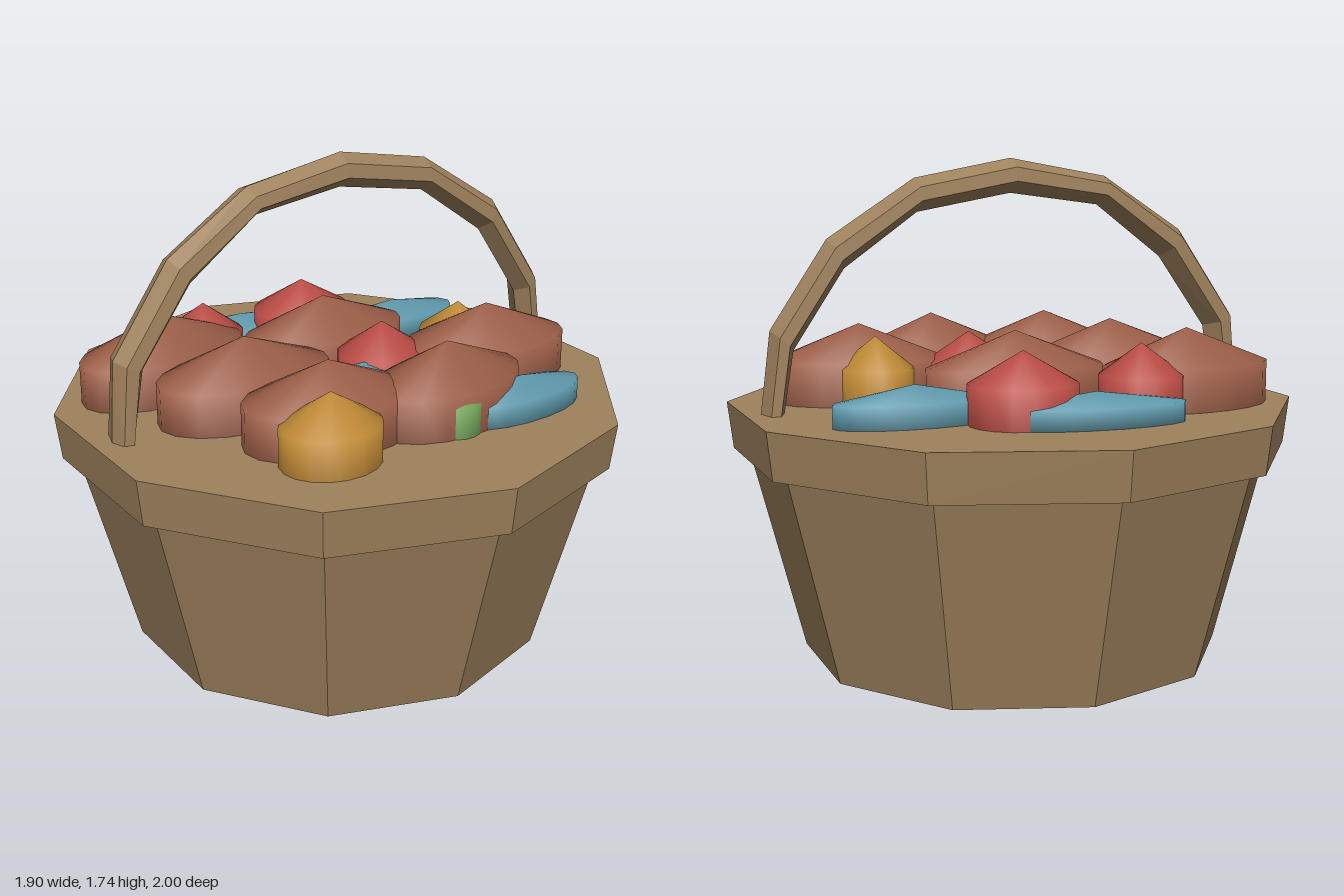
import * as THREE from 'three';

const mat = (name, color) => {
  const m = new THREE.MeshStandardMaterial({ color });
  m.name = name;
  return m;
};

export function createModel() {
  const basket = new THREE.Group();
  basket.name = 'basket';
  const wood = mat('wood', 0x9f825d);
  wood.flatShading = true;
  const brown = mat('russet', 0xa0614a);
  const red = mat('red', 0xc04f48);
  const blue = mat('blue', 0x5f9aad);
  const yellow = mat('ochre', 0xc68f38);
  const green = mat('green', 0x74a65a);

  const add = (name, geometry, material, parent = basket) => {
    const mesh = new THREE.Mesh(geometry, material);
    mesh.name = name;
    parent.add(mesh);
    return mesh;
  };

  // ten-sided tub and the overhanging rim with its closed top
  add('tub', new THREE.CylinderGeometry(0.935, 0.74, 0.75, 10), wood).position.y = 0.375;
  add('rim', new THREE.CylinderGeometry(1, 0.98, 0.165, 10), wood).position.y = 0.8075;

  // arched handle: six-sided section swept between outer and inner outlines
  const outer = [[-0.89, 0.86], [-0.87, 1.17], [-0.66, 1.475], [-0.36, 1.67], [0, 1.735],
    [0.35, 1.67], [0.66, 1.47], [0.86, 1.17], [0.9, 0.86]];
  const inner = [[-0.81, 0.86], [-0.765, 1.12], [-0.58, 1.38], [-0.33, 1.57], [0, 1.615],
    [0.34, 1.555], [0.6, 1.37], [0.78, 1.1], [0.82, 0.86]];
  const section = [[0, 0.01], [0.25, 0.06], [0.65, 0.068], [1, 0.01], [0.65, -0.065], [0.25, -0.06]];
  const positions = [];
  const index = [];
  outer.forEach(([ox, oy], i) => {
    const [ix, iy] = inner[i];
    for (const [t, z] of section) positions.push(ox + (ix - ox) * t, oy + (iy - oy) * t, z);
  });
  const n = section.length;
  for (let i = 0; i < outer.length - 1; i++) {
    for (let j = 0; j < n; j++) {
      const a = i * n + j;
      const b = i * n + (j + 1) % n;
      index.push(a, b, a + n, b, b + n, a + n);
    }
  }
  const arch = new THREE.BufferGeometry();
  arch.setAttribute('position', new THREE.Float32BufferAttribute(positions, 3));
  arch.setIndex(index);
  arch.computeVertexNormals();
  add('handle', arch, wood);

  // produce: pointed ovals half sunk into the top
  const produce = new THREE.Group();
  produce.name = 'produce';
  basket.add(produce);
  const oval = new THREE.SphereGeometry(1, 18, 3);
  const ring = Math.sin(Math.PI / 3); // widest ring of the oval
  // each row: x, z, half width, half depth, top, yaw
  const fill = (name, material, rows) => rows.forEach(([x, z, w, d, top, yaw = 0]) => {
    const mesh = add(name, oval, material, produce);
    const y = 0.915;
    mesh.position.set(x, y, z);
    mesh.scale.set(w / ring, top - y, d / ring);
    mesh.rotation.y = yaw;
  });
  fill('potato', brown, [
    [-0.52, -0.33, 0.32, 0.18, 1.16, 0.12],
    [0.06, -0.19, 0.32, 0.175, 1.16, 0],
    [-0.39, 0.015, 0.32, 0.19, 1.16, 0],
    [0.5, 0.195, 0.305, 0.185, 1.16, -0.15],
    [-0.27, 0.35, 0.3, 0.195, 1.16, -0.1],
    [0.155, 0.425, 0.3, 0.185, 1.16, 0.15],
  ]);
  fill('apple', red, [
    [-0.3, -0.43, 0.145, 0.14, 1.13],
    [0.14, -0.465, 0.185, 0.165, 1.13],
    [0.13, 0.08, 0.16, 0.145, 1.13],
  ]);
  fill('longFruit', blue, [
    [-0.07, -0.575, 0.315, 0.105, 1.0, -0.06],
    [0.47, -0.345, 0.275, 0.105, 1.02, 0],
    [0.39, 0.53, 0.255, 0.1, 1.02, 0.05],
    [0, 0.16, 0.16, 0.11, 1.03, -0.3],
  ]);
  fill('roundFruit', yellow, [
    [-0.37, 0.52, 0.175, 0.15, 1.13],
    [0.48, 0.06, 0.13, 0.15, 1.13],
  ]);
  fill('greenFruit', green, [[0.11, 0.51, 0.1, 0.115, 1.08]]);
  return basket;
}
